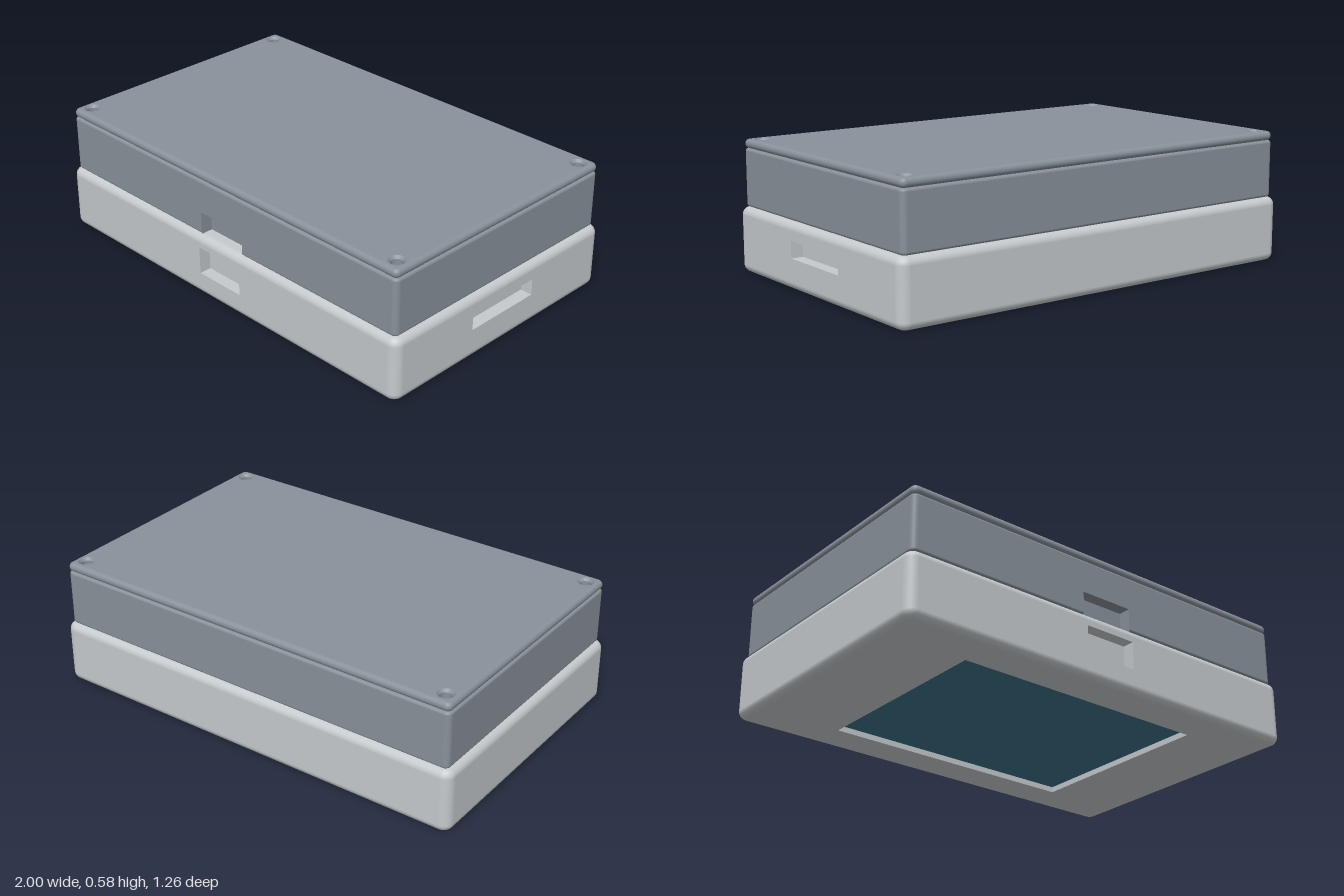
import * as THREE from 'three';

const mat = (name, color) => Object.assign(new THREE.MeshStandardMaterial({ color }), { name });

// Perimeter of a rounded rectangle: p is the inner point, n the outward normal, s the place along a side
function perimeter(hx, hz, rc, openings) {
  const pts = [];
  for (let k = 0; k < 4; k++) {
    const a = k * Math.PI / 2;
    const n = [Math.round(Math.cos(a)), Math.round(Math.sin(a))];
    const t = [-n[1], n[0]];
    const h = (k % 2 ? hz : hx) - rc, g = (k % 2 ? hx : hz) - rc;
    const cuts = openings.filter(o => o.side === k).flatMap(o => [-o.w / 2, o.w / 2]);
    const at = (s, nx, nz, side) =>
      pts.push({ x: n[0] * h + t[0] * s, z: n[1] * h + t[1] * s, nx, nz, s, side });
    [-g, ...cuts.sort((p, q) => p - q), g].forEach(s => at(s, n[0], n[1], k));
    for (let i = 1; i < 8; i++) {
      const b = a + i / 8 * Math.PI / 2;
      at(g, Math.cos(b), Math.sin(b), -1);
    }
  }
  return pts;
}

// Rounded wall with rectangular openings; side 0 is +x, side 1 is +z
function wallGeometry(hx, hz, y0, y1, rc, r, openings) {
  const ring = perimeter(hx, hz, rc, openings);
  const rows = [];
  const row = (y, th) => rows.push({ inset: r * (1 - Math.cos(th)), y, nh: Math.cos(th), ny: Math.sin(th) });
  for (let i = 0; i <= 6; i++) { const th = (i / 6 - 1) * Math.PI / 2; row(y0 + r + r * Math.sin(th), th); }
  openings.flatMap(o => [o.y0, o.y1]).filter(y => y > y0 + r).sort((a, b) => a - b).forEach(y => row(y, 0));
  for (let i = 0; i <= 6; i++) { const th = i / 6 * Math.PI / 2; row(y1 - r + r * Math.sin(th), th); }

  const pos = [], nor = [], idx = [], N = ring.length;
  for (const q of rows) for (const p of ring) {
    pos.push(p.x + p.nx * (rc - q.inset), q.y, p.z + p.nz * (rc - q.inset));
    nor.push(p.nx * q.nh, q.ny, p.nz * q.nh);
  }
  for (let j = 0; j < rows.length - 1; j++) for (let i = 0; i < N; i++) {
    const i2 = (i + 1) % N, p = ring[i], p2 = ring[i2];
    const s = (p.s + p2.s) / 2, y = (rows[j].y + rows[j + 1].y) / 2;
    if (openings.some(o => p.side === o.side && p2.side === o.side &&
      Math.abs(s) < o.w / 2 && y > o.y0 && y < o.y1)) continue;
    const a = j * N + i, b = j * N + i2, c = a + N, d = b + N;
    idx.push(a, c, b, b, c, d);
  }
  const g = new THREE.BufferGeometry();
  g.setAttribute('position', new THREE.Float32BufferAttribute(pos, 3));
  g.setAttribute('normal', new THREE.Float32BufferAttribute(nor, 3));
  g.setIndex(idx);
  return g;
}

// Flat end face of a rounded box, facing up or down
function capGeometry(hx, hz, y, rc, r, holes, up) {
  const shape = new THREE.Shape(perimeter(hx, hz, rc, []).map(p =>
    new THREE.Vector2(p.x + p.nx * (rc - r), p.z + p.nz * (rc - r))));
  shape.holes.push(...holes);
  return new THREE.ShapeGeometry(shape, 12).rotateX(up ? -Math.PI / 2 : Math.PI / 2).translate(0, y, 0);
}

// Turn a surface inside out
function invert(g) {
  g.setIndex(Array.from(g.index.array).reverse());
  const n = g.attributes.normal;
  for (let i = 0; i < n.array.length; i++) n.array[i] *= -1;
  g.clearGroups();
  return g;
}

// Recess opening towards +z at z = 0; dropped lists the box faces left out
function pocketGeometry(w, h, d, dropped) {
  const g = new THREE.BoxGeometry(w, h, d).translate(0, 0, -d / 2);
  g.setIndex(Array.from(g.index.array).filter((_, i) => !dropped.includes(Math.floor(i / 6))));
  return invert(g);
}

const screwSpots = [[-1, -1], [1, -1], [1, 1], [-1, 1]].map(([x, z]) => [x * 0.92, z * 0.55]);
const screwHoles = r => screwSpots.map(([x, y]) => new THREE.Path().absarc(x, y, r, 0, Math.PI * 2, true));

export function createModel() {
  const model = new THREE.Group();
  model.name = 'enclosure';
  const light = mat('lightGrey', 0xc6cacd);
  const grey = mat('slateGrey', 0x89919a);
  const glass = mat('screenTeal', 0x3a7088);

  const add = (parent, name, geometry, material) => {
    const m = new THREE.Mesh(geometry, material);
    m.name = name;
    parent.add(m);
    return m;
  };
  const shell = (name, material, { hx, hz, y0, y1, rc, r, openings = [], top = [], bottom = [] }) => {
    const g = new THREE.Group();
    g.name = name;
    model.add(g);
    add(g, name + 'Wall', wallGeometry(hx, hz, y0, y1, rc, r, openings), material);
    add(g, name + 'Top', capGeometry(hx, hz, y1, rc, r, top, true), material);
    add(g, name + 'Bottom', capGeometry(hx, hz, y0, rc, r, bottom, false), material);
    for (const o of openings) {
      const p = add(g, o.name, pocketGeometry(o.w, o.y1 - o.y0, 0.055, o.dropped || [4]), material);
      p.position.set(o.side ? 0 : hx, (o.y0 + o.y1) / 2, o.side ? hz : 0);
      p.rotation.y = o.side ? 0 : Math.PI / 2;
    }
    return g;
  };

  // Lower case with a front port, a side card slot and a screen window underneath
  const sw = 0.6, sd = 0.45, depth = 0.03;
  const windowHole = new THREE.Path([[-sw, -sd], [-sw, sd], [sw, sd], [sw, -sd]].map(p => new THREE.Vector2(...p)));
  const lower = shell('lowerCase', light, {
    hx: 1, hz: 0.632, y0: 0, y1: 0.287, rc: 0.045, r: 0.035, bottom: [windowHole],
    openings: [
      { name: 'frontPort', side: 1, w: 0.246, y0: 0.105, y1: 0.23 },
      { name: 'sideSlot', side: 0, w: 0.37, y0: 0.136, y1: 0.21 },
    ],
  });
  add(lower, 'screenRecess', pocketGeometry(sw * 2, sd * 2, depth, [4]), light).rotation.x = Math.PI / 2;
  add(model, 'screen', new THREE.BoxGeometry(sw * 2 - 0.004, 0.006, sd * 2 - 0.004), glass)
    .position.y = depth - 0.003;

  // Upper case with a notch at its front lower edge
  shell('upperCase', grey, {
    hx: 0.978, hz: 0.613, y0: 0.287, y1: 0.54, rc: 0.025, r: 0.012,
    top: screwHoles(0.026), bottom: screwHoles(0.026),
    openings: [{ name: 'frontNotch', side: 1, w: 0.25, y0: 0.287, y1: 0.39, dropped: [4, 3] }],
  });

  // Lid with rounded rim
  shell('lid', grey, {
    hx: 0.978, hz: 0.613, y0: 0.54, y1: 0.58, rc: 0.025, r: 0.0195,
    top: screwHoles(0.036), bottom: screwHoles(0.026),
  });

  // Screw wells with countersunk mouths
  for (const [x, z] of screwSpots) {
    add(model, 'screwCountersink', invert(new THREE.CylinderGeometry(0.036, 0.026, 0.012, 24, 1, true)), grey)
      .position.set(x, 0.574, z);
    add(model, 'screwWell', invert(new THREE.CylinderGeometry(0.026, 0.026, 0.281, 24, 1, true)), grey)
      .position.set(x, 0.4275, z);
  }
  return model;
}
